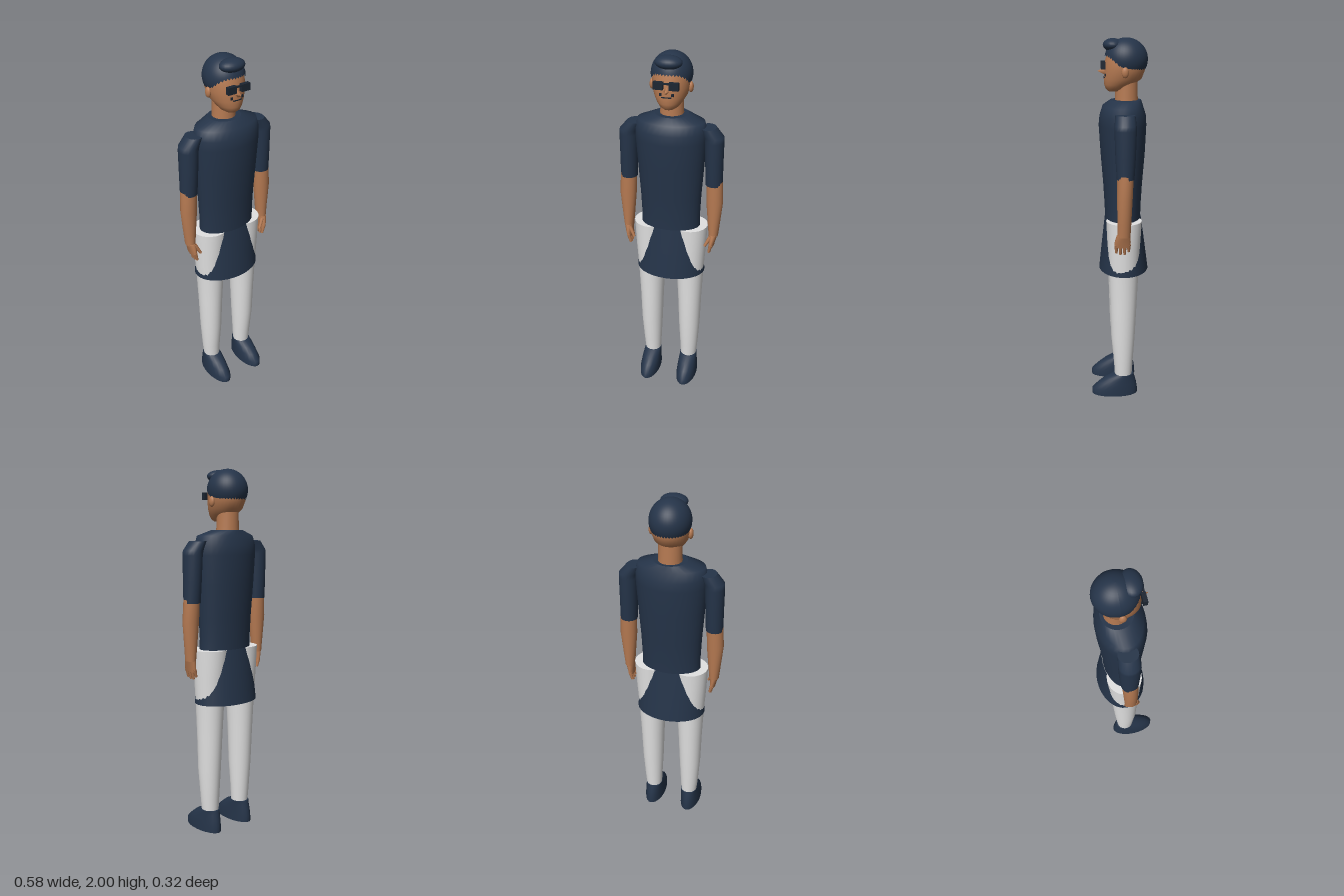
import * as THREE from 'three';

const mat = (name, color, side = THREE.FrontSide) =>
  Object.assign(new THREE.MeshStandardMaterial({ color, side }), { name });

// Skin through elliptical sections [y, cx, cz, rx, rz], listed bottom to top.
function loft(sections, n = 24, capped = true) {
  const pos = [], idx = [];
  const ring = ([y, cx, cz, rx, rz]) => {
    for (let i = 0; i < n; i++) {
      const a = (i / n) * Math.PI * 2;
      pos.push(cx + Math.sin(a) * rx, y, cz + Math.cos(a) * rz);
    }
  };
  sections.forEach(ring);
  for (let s = 0; s < sections.length - 1; s++) {
    for (let i = 0; i < n; i++) {
      const j = (i + 1) % n, a = s * n + i, b = s * n + j;
      idx.push(a, b, b + n, a, b + n, a + n);
    }
  }
  if (capped) {
    [sections[0], sections[sections.length - 1]].forEach((sec, end) => {
      const base = pos.length / 3;
      ring(sec);
      pos.push(sec[1], sec[0], sec[2]);
      for (let i = 0; i < n; i++) {
        const a = base + i, b = base + ((i + 1) % n), c = base + n;
        if (end) idx.push(c, a, b); else idx.push(c, b, a);
      }
    });
  }
  const g = new THREE.BufferGeometry();
  g.setAttribute('position', new THREE.Float32BufferAttribute(pos, 3));
  g.setIndex(idx);
  g.computeVertexNormals();
  return g;
}

// Hair cap: a dome whose lower rim rises from the nape to the forehead.
function hairCap() {
  const g = new THREE.SphereGeometry(1, 40, 18);
  const p = g.attributes.position, uv = g.attributes.uv;
  for (let i = 0; i < p.count; i++) {
    const phi = uv.getX(i) * Math.PI * 2;
    const v = Math.round((1 - uv.getY(i)) * 18) / 18;
    const w = THREE.MathUtils.smoothstep(Math.sin(phi), 0, 1);
    const t = v * Math.acos(THREE.MathUtils.lerp(-0.5, 0.14, w));
    p.setXYZ(i, -Math.cos(phi) * Math.sin(t) * 0.106, Math.cos(t) * 0.11, Math.sin(phi) * Math.sin(t) * 0.114);
  }
  g.computeVertexNormals();
  return g;
}

// Tapered finger between two points.
function finger(from, to, r) {
  const a = new THREE.Vector3(...from), b = new THREE.Vector3(...to);
  const d = b.clone().sub(a);
  const g = new THREE.CylinderGeometry(r * 0.6, r, d.length(), 8);
  g.applyQuaternion(new THREE.Quaternion().setFromUnitVectors(new THREE.Vector3(0, 1, 0), d.normalize()));
  const m = a.add(b).multiplyScalar(0.5);
  return g.translate(m.x, m.y, m.z);
}

export function createModel() {
  const root = new THREE.Group();
  root.name = 'standingFigure';
  const navy = mat('navyCloth', 0x253449);
  const navyOpen = mat('navySkirt', 0x253449, THREE.DoubleSide);
  const white = mat('whiteCloth', 0xe2e2e2);
  const skin = mat('skin', 0xb67a52);
  const dark = mat('darkGlass', 0x1c2531);

  const add = (name, geo, material, parent = root) => {
    const m = new THREE.Mesh(geo, material);
    m.name = name;
    parent.add(m);
    return m;
  };

  // Shirt and skirt
  add('shirt', loft([
    [1.03, 0, -0.02, 0.165, 0.098], [1.1, 0, -0.02, 0.163, 0.099],
    [1.22, 0, -0.02, 0.168, 0.106], [1.4, 0, -0.02, 0.18, 0.12],
    [1.55, 0, -0.019, 0.19, 0.128], [1.6, 0, -0.02, 0.19, 0.124],
    [1.65, 0, -0.02, 0.178, 0.108], [1.68, 0, -0.035, 0.088, 0.083],
  ], 32), navy);
  add('skirt', loft([
    [0.74, 0, -0.025, 0.195, 0.137], [0.89, 0, -0.023, 0.181, 0.119],
    [1.04, 0, -0.021, 0.166, 0.1],
  ], 32, false), navyOpen);

  // Neck and head
  add('neck', loft([
    [1.66, 0, -0.04, 0.064, 0.062], [1.7, 0, -0.04, 0.061, 0.06], [1.78, 0, -0.04, 0.06, 0.058],
  ]), skin);
  add('head', loft([
    [1.725, 0, 0.02, 0.03, 0.035], [1.738, 0, 0.012, 0.05, 0.058],
    [1.76, 0, 0, 0.067, 0.078], [1.79, 0, -0.02, 0.085, 0.1],
    [1.835, 0, -0.03, 0.098, 0.108], [1.89, 0, -0.035, 0.1, 0.106],
    [1.94, 0, -0.035, 0.088, 0.09],
  ], 32), skin);
  add('hair', hairCap(), navy).position.set(0, 1.89, -0.038);
  const quiff = add('quiff', new THREE.SphereGeometry(1, 24, 16), navy);
  quiff.scale.set(0.07, 0.034, 0.052);
  quiff.position.set(0, 1.963, 0.032);

  // Face details
  const nose = new THREE.ConeGeometry(0.022, 0.055, 4);
  nose.rotateX(Math.PI / 2).scale(1, 1.3, 1);
  add('nose', nose, skin).position.set(0, 1.83, 0.086);
  add('glassesBridge', new THREE.BoxGeometry(0.04, 0.008, 0.009), dark).position.set(0, 1.872, 0.088);
  add('mouth', new THREE.BoxGeometry(0.05, 0.005, 0.008), dark).position.set(0, 1.798, 0.077);

  // Paired parts, mirrored across x
  for (const s of [1, -1]) {
    const side = s > 0 ? 'left' : 'right';
    const flip = (secs) => secs.map(([y, x, ...rest]) => [y, s * x, ...rest]);

    add(side + 'Lens', new THREE.BoxGeometry(0.05, 0.038, 0.022), dark).position.set(s * 0.04, 1.86, 0.084);
    add(side + 'Moustache', new THREE.BoxGeometry(0.012, 0.014, 0.009), dark).position.set(s * 0.031, 1.811, 0.072);
    const ear = add(side + 'Ear', new THREE.SphereGeometry(1, 14, 10), skin);
    ear.scale.set(0.013, 0.028, 0.019);
    ear.position.set(s * 0.101, 1.828, -0.028);

    // Leg and shoe
    add(side + 'Leg', loft(flip([
      [0.1, 0.112, -0.02, 0.046, 0.048], [0.2, 0.114, -0.02, 0.053, 0.054],
      [0.36, 0.115, -0.018, 0.062, 0.067], [0.55, 0.114, -0.02, 0.068, 0.074],
      [0.74, 0.113, -0.021, 0.077, 0.082], [0.89, 0.112, -0.022, 0.088, 0.089],
      [1.04, 0.107, -0.023, 0.1, 0.097],
    ])), white);
    add(side + 'Shoe', loft(flip([
      [0, 0.115, 0.03, 0.059, 0.13], [0.035, 0.115, 0.03, 0.058, 0.129],
      [0.07, 0.114, 0.014, 0.055, 0.107], [0.1, 0.113, -0.002, 0.052, 0.083],
      [0.123, 0.112, -0.022, 0.049, 0.056],
    ])), navy);

    // Sleeve, forearm and hand
    add(side + 'Sleeve', loft(flip([
      [1.3, 0.236, -0.024, 0.046, 0.046], [1.42, 0.233, -0.024, 0.048, 0.053],
      [1.55, 0.23, -0.024, 0.051, 0.057], [1.575, 0.226, -0.024, 0.053, 0.056],
      [1.623, 0.195, -0.024, 0.043, 0.052],
    ]), 20), navy);
    add(side + 'Forearm', loft(flip([
      [0.99, 0.243, -0.016, 0.026, 0.034], [1.06, 0.243, -0.018, 0.033, 0.036],
      [1.2, 0.243, -0.02, 0.046, 0.041], [1.32, 0.238, -0.023, 0.044, 0.043],
    ]), 20), skin);
    const hand = new THREE.Group();
    hand.name = side + 'Hand';
    root.add(hand);
    add('palm', loft(flip([
      [0.93, 0.236, -0.009, 0.014, 0.042], [0.96, 0.239, -0.009, 0.018, 0.043],
      [1.0, 0.243, -0.014, 0.025, 0.036],
    ]), 16), skin, hand);
    for (let i = 0; i < 4; i++) {
      const z = 0.024 - i * 0.022;
      const tip = 0.888 + (i === 3 ? 0.015 : i === 0 ? 0.008 : 0);
      add('finger', finger([s * 0.237, 0.945, z], [s * 0.226, tip, z], 0.011), skin, hand);
    }
    add('thumb', finger([s * 0.232, 0.99, 0.012], [s * 0.203, 0.935, 0.026], 0.012), skin, hand);
  }
  return root;
}
